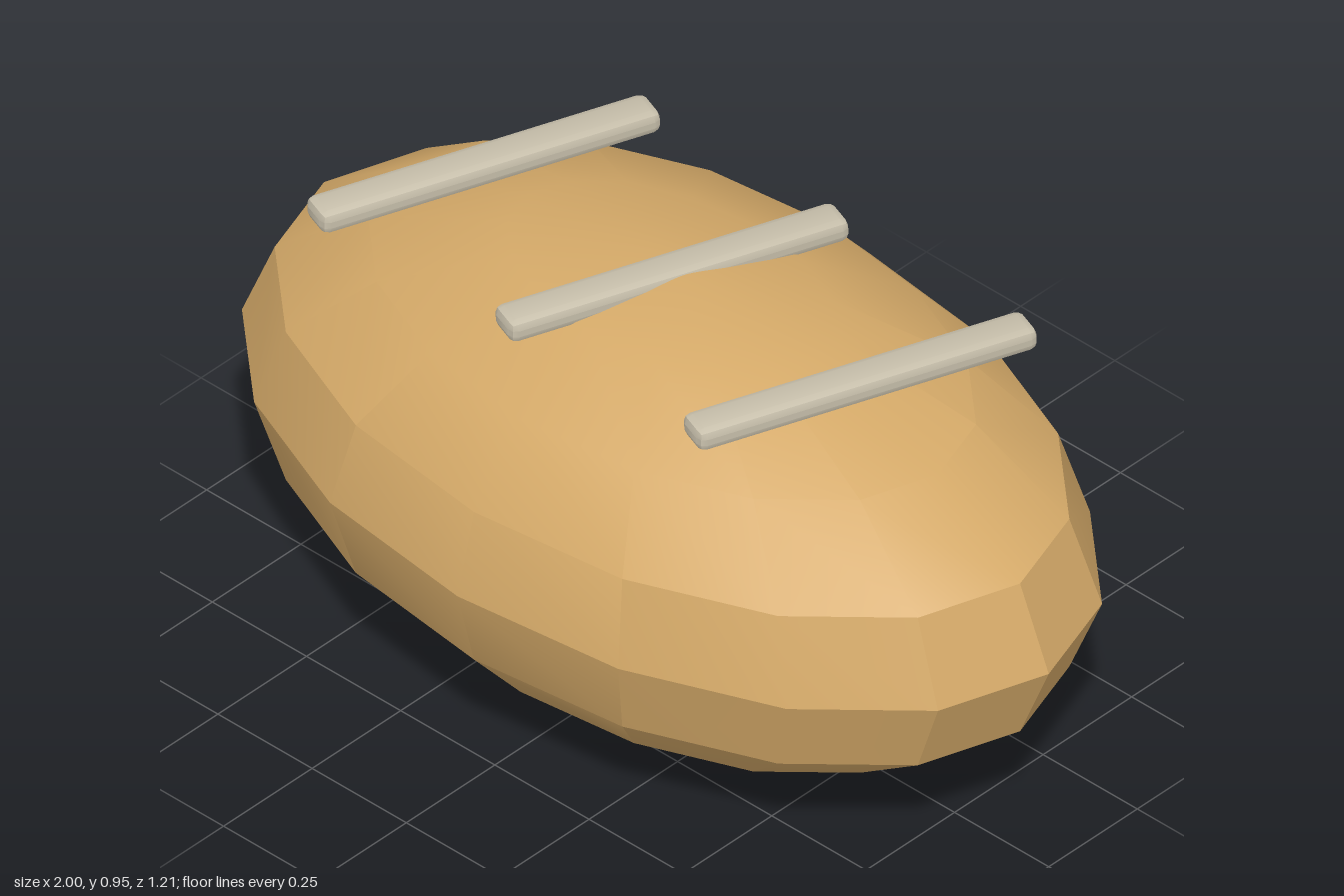
import * as THREE from 'three';
import { toCreasedNormals } from 'three/addons/utils/BufferGeometryUtils.js';
import { RoundedBoxGeometry } from 'three/addons/geometries/RoundedBoxGeometry.js';

export function createModel() {
  const model = new THREE.Group();
  model.name = 'loaf';

  const crust = new THREE.MeshStandardMaterial({ color: 0xd4a968 });
  crust.name = 'golden crust';
  const pale = new THREE.MeshStandardMaterial({ color: 0xc6beaa });
  pale.name = 'pale score';

  // Loaf body: a coarse ellipsoid, creased where it turns sharply
  const halfHeight = 0.472;
  const bodyGeometry = new THREE.SphereGeometry(1, 16, 8);
  bodyGeometry.scale(1, halfHeight, 0.605);
  const body = new THREE.Mesh(
    toCreasedNormals(bodyGeometry, THREE.MathUtils.degToRad(27)),
    crust
  );
  body.name = 'loafBody';
  body.position.y = halfHeight;
  model.add(body);

  // Three slanted score bars with bevelled edges lying across the top
  const barGeometry = toCreasedNormals(
    new RoundedBoxGeometry(0.084, 0.05, 0.737, 1, 0.018),
    THREE.MathUtils.degToRad(30)
  );
  ['scoreRight', 'scoreMiddle', 'scoreLeft'].forEach((name, i) => {
    const bar = new THREE.Mesh(barGeometry, pale);
    bar.name = name;
    bar.position.set((i - 1) * 0.5, 0.923, 0);
    bar.rotation.y = THREE.MathUtils.degToRad(-20);
    model.add(bar);
  });

  return model;
}
